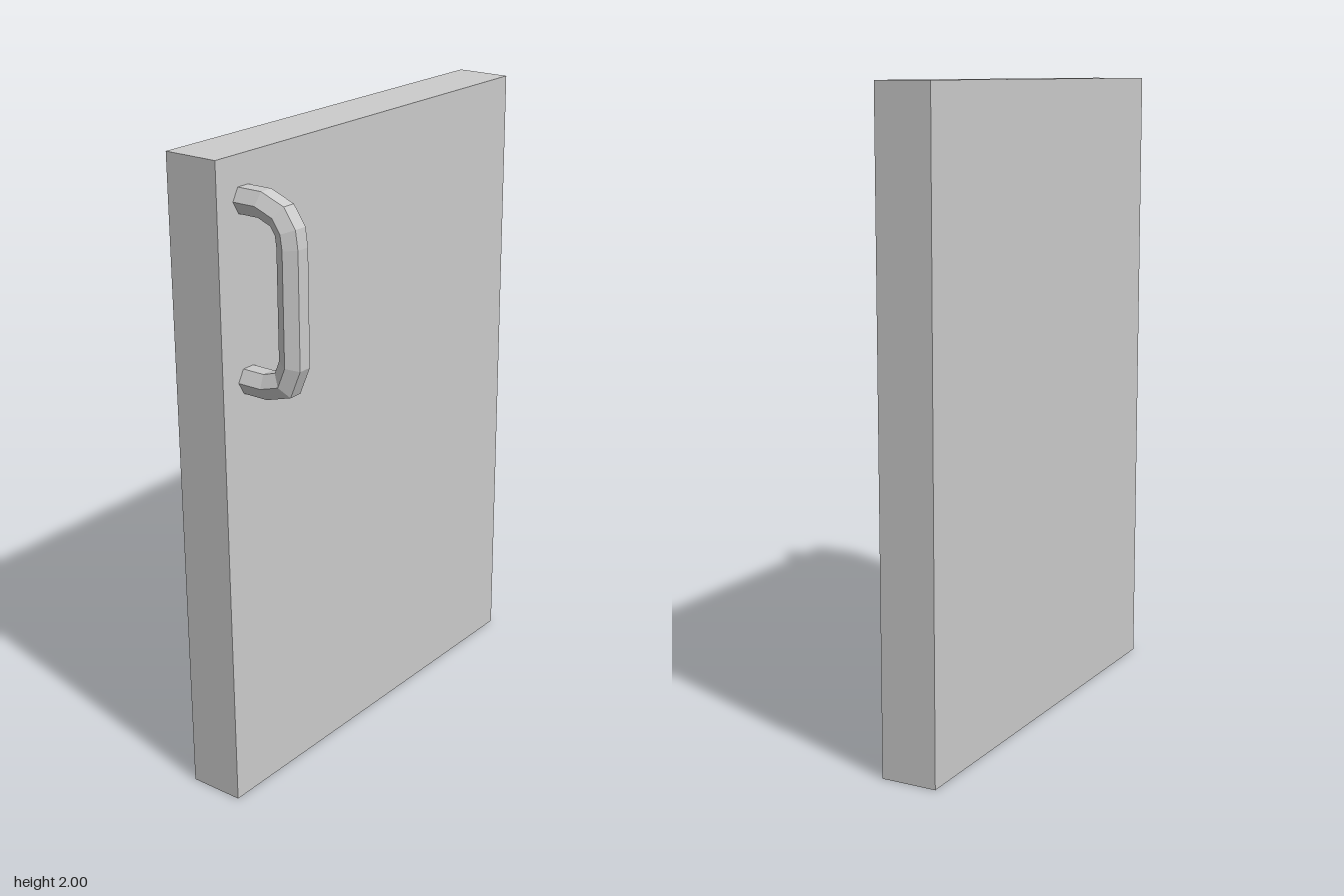
import * as THREE from 'three';

const material = new THREE.MeshStandardMaterial({ color: 0xcccccc, flatShading: true, side: THREE.DoubleSide });

// Sweeps a hexagonal bar along a path of [z, y] points in the plane x = 0, with mitred joints
function sweepHexagon(path, radius) {
  const points = path.map(([z, y]) => new THREE.Vector2(z, y));
  const positions = [];
  const indices = [];
  const sides = 6;
  const direction = (a, b) => b.clone().sub(a).normalize();
  points.forEach((p, i) => {
    const before = direction(points[Math.max(i - 1, 0)], points[Math.max(i, 1)]);
    const after = i < points.length - 1 ? direction(p, points[i + 1]) : before;
    const tangent = before.clone().add(after).normalize();
    const mitre = 1 / tangent.dot(after);
    for (let k = 0; k < sides; k++) {
      const angle = (k / sides) * Math.PI * 2;
      const offset = radius * Math.sin(angle) * mitre;
      positions.push(radius * Math.cos(angle), p.y + tangent.x * offset, p.x - tangent.y * offset);
      if (i < points.length - 1) {
        const a = i * sides + k;
        const b = i * sides + ((k + 1) % sides);
        indices.push(a, b, b + sides, a, b + sides, a + sides);
      }
    }
  });
  const geometry = new THREE.BufferGeometry();
  geometry.setAttribute('position', new THREE.Float32BufferAttribute(positions, 3));
  geometry.setIndex(indices);
  geometry.computeVertexNormals();
  return geometry;
}

export function createModel() {
  const model = new THREE.Group();
  model.name = 'cabinetDoor';

  // Door slab, turned very slightly on its vertical axis
  const panel = new THREE.Mesh(new THREE.BoxGeometry(1.41, 2, 0.177), material);
  panel.name = 'doorPanel';
  panel.position.set(0, 1, -0.098);
  panel.rotation.y = -0.0085;
  model.add(panel);

  // Pull handle, its ends set into the front of the door
  const handlePath = [
    [-0.03, 1.873], [0.06, 1.873], [0.12, 1.85], [0.147, 1.81], [0.153, 1.765],
    [0.153, 1.43], [0.127, 1.368], [0.063, 1.349], [-0.03, 1.349],
  ];
  const handle = new THREE.Mesh(sweepHexagon(handlePath, 0.043), material);
  handle.name = 'pullHandle';
  handle.position.x = -0.597;
  model.add(handle);

  return model;
}
